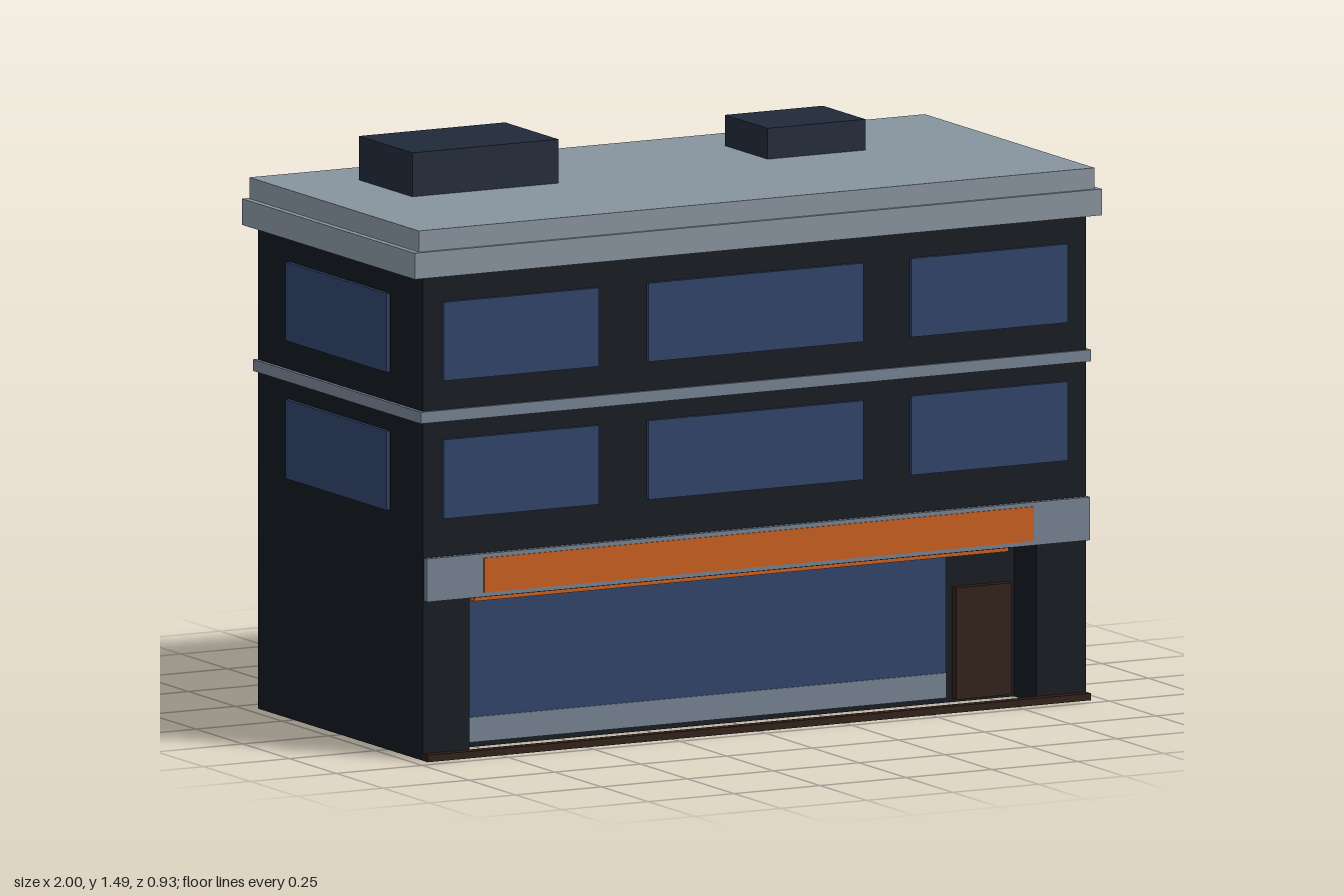
import * as THREE from 'three';

const mat = (color) => new THREE.MeshStandardMaterial({ color });

export function createModel() {
  const model = new THREE.Group();
  const wall = mat(0x12171d), glass = mat(0x2f4168), cornice = mat(0x86929d), trim = mat(0x748090),
    orange = mat(0xc65d1a), brown = mat(0x2f1d14), unit = mat(0x202938);

  // Box given by its extents on each axis
  const block = (name, material, [x0, x1], [y0, y1], [z0, z1]) => {
    const mesh = new THREE.Mesh(new THREE.BoxGeometry(x1 - x0, y1 - y0, z1 - z0), material);
    mesh.position.set((x0 + x1) / 2, (y0 + y1) / 2, (z0 + z1) / 2);
    mesh.name = name;
    model.add(mesh);
  };

  // Walls: upper floors over a recessed shop front between two corner piers
  block('upperFloors', wall, [-0.965, 0.965], [0.41, 1.26], [-0.443, 0.44]);
  block('groundFloor', wall, [-0.83, 0.82], [0, 0.41], [-0.443, 0.32]);
  block('rightPier', wall, [-0.965, -0.83], [0, 0.41], [-0.443, 0.44]);
  block('leftPier', wall, [0.82, 0.965], [0, 0.41], [-0.443, 0.44]);

  // Shop front
  block('shopWindow', glass, [-0.828, 0.615], [0.08, 0.395], [0.315, 0.333]);
  block('shopWindowBase', trim, [-0.828, 0.615], [0.015, 0.08], [0.315, 0.336]);
  block('door', brown, [0.64, 0.8], [0.01, 0.3], [0.315, 0.345]);
  block('doorstep', brown, [-0.965, 0.965], [0, 0.018], [0.44, 0.466]);
  block('fascia', trim, [-0.965, 0.965], [0.415, 0.527], [0.447, 0.462]);
  block('signPanel', orange, [-0.8, 0.8], [0.426, 0.516], [0.455, 0.465]);
  block('awningStrip', orange, [-0.78, 0.775], [0.388, 0.41], [0.333, 0.375]);

  // Windows on both upper floors, front and sides
  for (const y of [[0.625, 0.83], [0.983, 1.187]]) {
    for (const x of [[-0.91, -0.46], [-0.315, 0.31], [0.45, 0.905]]) {
      block('frontWindow', glass, x, y, [0.442, 0.453]);
    }
    block('leftWindow', glass, [0.968, 0.979], y, [-0.27, 0.27]);
    block('rightWindow', glass, [-0.979, -0.968], y, [-0.27, 0.27]);
  }

  // Belt course and stepped cornice
  block('beltCourse', trim, [-0.975, 0.975], [0.876, 0.906], [-0.45, 0.447]);
  block('lowerCornice', cornice, [-1, 1], [1.255, 1.323], [-0.464, 0.461]);
  block('roofSlab', cornice, [-0.983, 0.983], [1.323, 1.378], [-0.456, 0.451]);

  // Rooftop boxes
  block('largeRoofUnit', unit, [-0.755, -0.33], [1.378, 1.492], [-0.288, -0.003]);
  block('smallRoofUnit', unit, [0.31, 0.595], [1.378, 1.458], [-0.288, -0.06]);

  return model;
}
